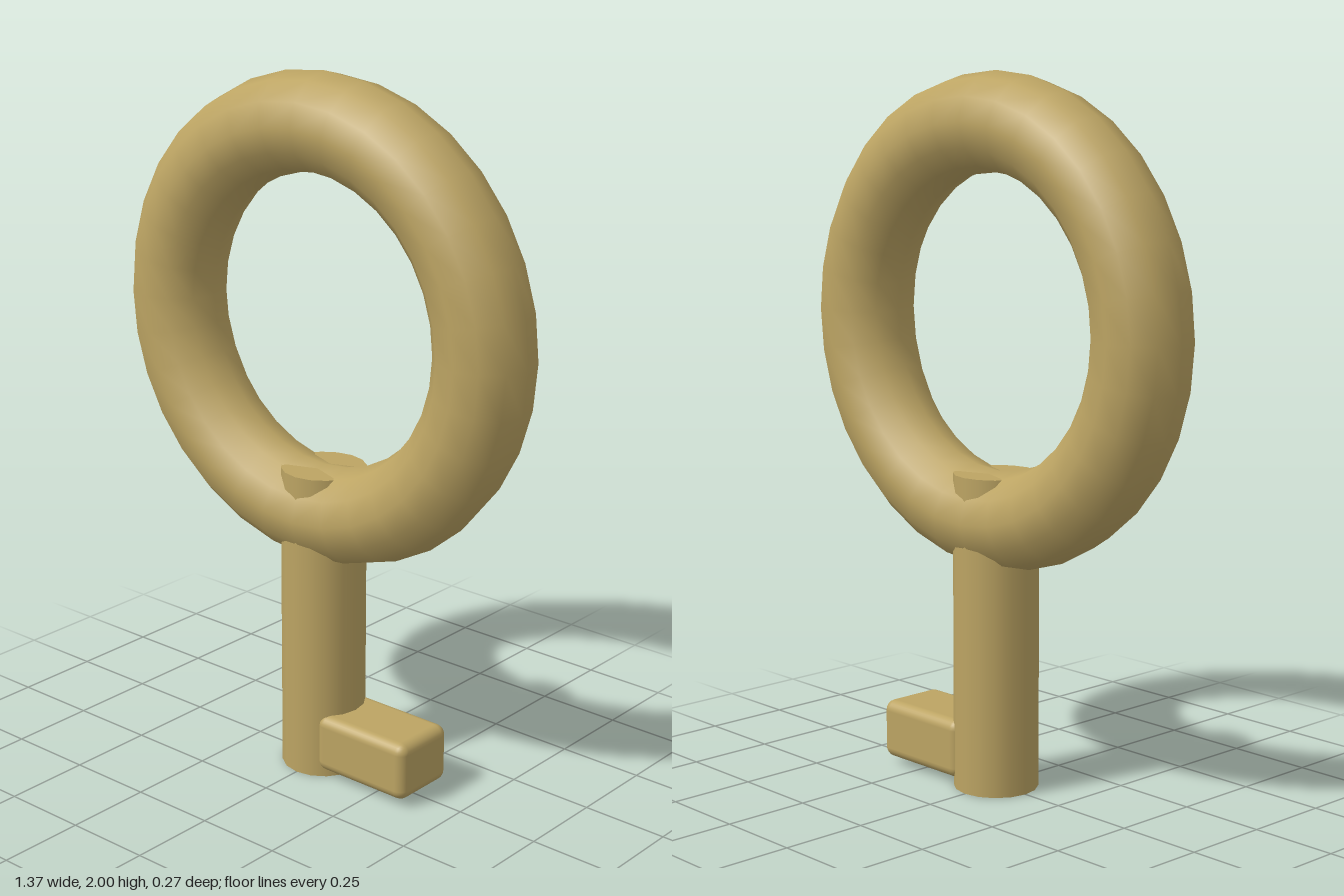
import * as THREE from 'three';
import { RoundedBoxGeometry } from 'three/addons/geometries/RoundedBoxGeometry.js';

export function createModel() {
  const model = new THREE.Group();
  model.name = 'key';

  const brass = new THREE.MeshStandardMaterial({ color: 0xbca463 });
  brass.name = 'brass';

  function addPart(name, geometry, x, y, z) {
    const mesh = new THREE.Mesh(geometry, brass);
    mesh.name = name;
    mesh.position.set(x, y, z);
    model.add(mesh);
  }

  // Ring handle
  addPart('ringHandle', new THREE.TorusGeometry(0.547, 0.137, 12, 32), 0, 1.317, 0);

  // Shaft, reaching up through the ring
  const shaftHeight = 0.9;
  addPart('shaft', new THREE.CylinderGeometry(0.12, 0.12, shaftHeight, 16), 0, shaftHeight / 2, 0);

  // Single rounded tooth on the left side
  addPart('tooth', new RoundedBoxGeometry(0.32, 0.17, 0.205, 3, 0.03), 0.215, 0.105, 0);

  return model;
}
